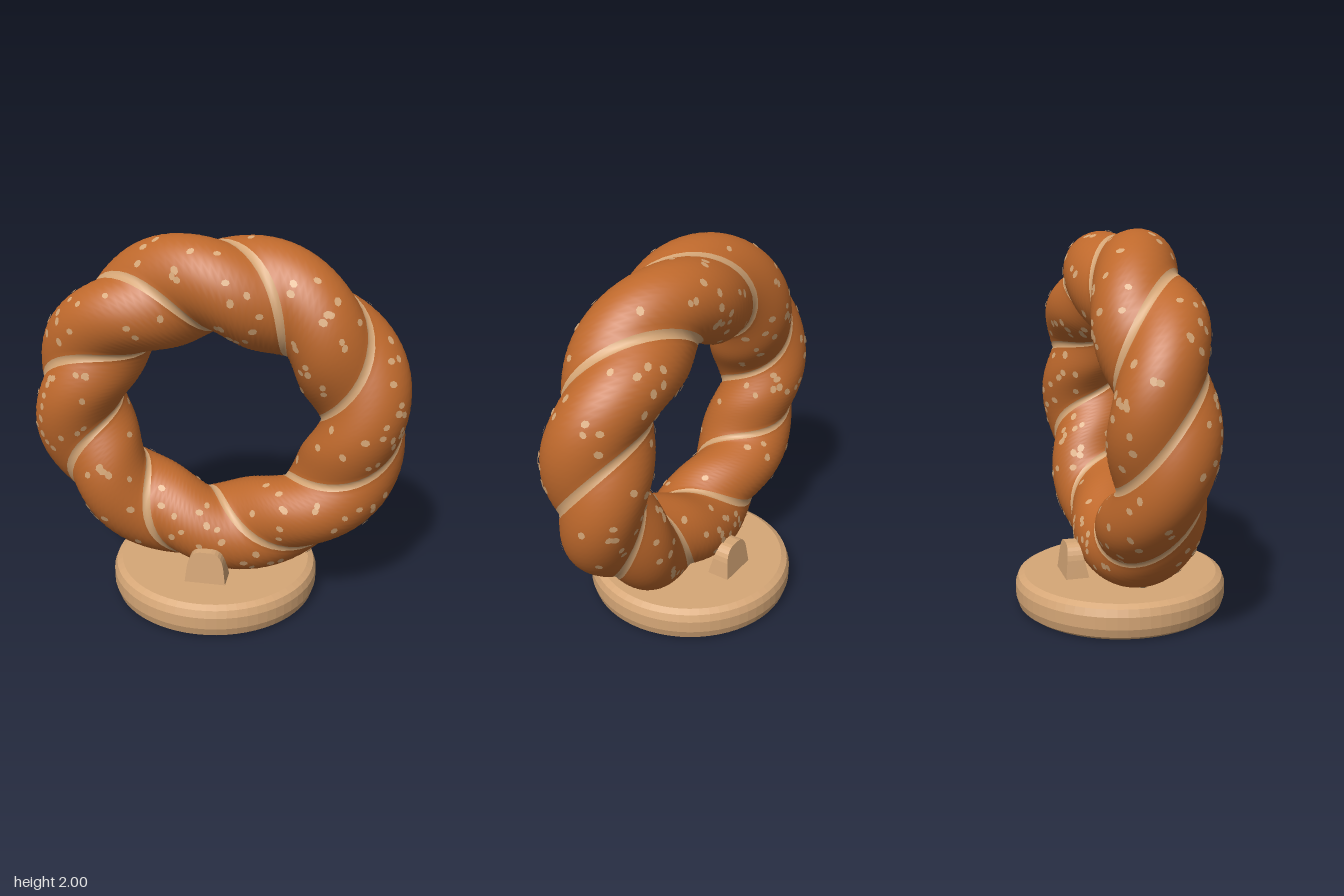
import * as THREE from 'three';
import { mergeGeometries } from 'three/addons/utils/BufferGeometryUtils.js';

const TURNS = 4;                 // full twists around the ring
const RX = 0.746, RY = 0.678;    // ring path radii
const CENTRE_Y = 1.064, CENTRE_Z = 0.01;
const SEAM = THREE.MathUtils.degToRad(9); // half width of the pale seam

// Point of the twisted ring: theta runs round the ring, alpha round the dough
function ringPoint(theta, alpha, rho) {
  const c = Math.cos(theta), s = Math.sin(theta);
  const even = alpha - TURNS * theta;
  const phi = even - 0.16 * (1 + Math.sin(even)) * (1 - 0.45 * c); // hand-rolled slack in the twist
  const thick = rho * (1 + 0.06 * s); // a little plumper at the top
  const out = thick * Math.cos(phi);
  return new THREE.Vector3(
    (RX + out) * c,
    CENTRE_Y + (RY + out) * s,
    CENTRE_Z + thick * Math.sin(phi)
  );
}

// Two overlapping circles give the plump strands with a crease between them
function doughRadius(alpha) {
  const d = 0.054, r = 0.216, c = d * Math.cos(alpha);
  return d * Math.abs(Math.sin(alpha)) + Math.sqrt(r * r - c * c);
}

// Closed band of the ring between two alpha angles
function twistedBand(from, to, steps, radius) {
  const rings = 128, row = steps + 1, positions = [], index = [];
  for (let i = 0; i < rings; i++) {
    const theta = (i / rings) * Math.PI * 2;
    for (let j = 0; j <= steps; j++) {
      const alpha = from + ((to - from) * j) / steps;
      positions.push(...ringPoint(theta, alpha, radius(alpha)).toArray());
    }
  }
  for (let i = 0; i < rings; i++) {
    for (let j = 0; j < steps; j++) {
      const a = i * row + j, b = ((i + 1) % rings) * row + j;
      index.push(a, b, a + 1, b, b + 1, a + 1);
    }
  }
  const geometry = new THREE.BufferGeometry();
  geometry.setAttribute('position', new THREE.Float32BufferAttribute(positions, 3));
  geometry.setIndex(index);
  geometry.computeVertexNormals();
  return geometry;
}

function seededRandom(seed) {
  return () => {
    seed = (seed * 16807) % 2147483647;
    return seed / 2147483647;
  };
}

// Small pale grains lying flat on the crust, mostly on its front and back
function grainGeometry(count) {
  const random = seededRandom(77), grains = [], forward = new THREE.Vector3(0, 0, 1);
  const e = 0.01;
  const at = (t, a) => ringPoint(t, a, doughRadius(a));
  while (grains.length < count) {
    const theta = random() * Math.PI * 2;
    const alpha = (random() < 0.5 ? 0 : Math.PI) + Math.PI * (0.15 + 0.7 * random());
    if (Math.abs(Math.sin(alpha - TURNS * theta)) < 0.8 * random()) continue;
    const p = at(theta, alpha);
    const normal = at(theta + e, alpha).sub(p).cross(at(theta, alpha + e).sub(p)).normalize();
    const grain = new THREE.CircleGeometry(0.015 + 0.005 * random(), 7);
    grain.scale(1, 1.25, 1);
    grain.rotateZ(random() * Math.PI);
    grain.applyQuaternion(new THREE.Quaternion().setFromUnitVectors(forward, normal));
    p.addScaledVector(normal, 0.004);
    grain.translate(p.x, p.y, p.z);
    grains.push(grain);
  }
  return mergeGeometries(grains);
}

export function createModel() {
  const crust = new THREE.MeshStandardMaterial({ color: 0xbf692c });
  crust.name = 'brownCrust';
  const pale = new THREE.MeshStandardMaterial({ color: 0xd6a777 });
  pale.name = 'paleTan';

  const model = new THREE.Group();
  model.name = 'twistedBreadRing';
  const add = (name, geometry, material) => {
    const mesh = new THREE.Mesh(geometry, material);
    mesh.name = name;
    model.add(mesh);
    return mesh;
  };

  // Two strands and the seams between them
  for (let k = 0; k < 2; k++) {
    const start = k * Math.PI;
    add(`strand${k + 1}`, twistedBand(start + SEAM, start + Math.PI - SEAM, 18, doughRadius), crust);
    add(`seam${k + 1}`, twistedBand(start - SEAM, start + SEAM, 2, doughRadius), pale);
  }
  add('grains', grainGeometry(330), pale);

  // Round base with softened rims
  const profile = [
    [0, 0], [0.525, 0], [0.552, 0.02], [0.566, 0.065],
    [0.566, 0.13], [0.552, 0.168], [0.52, 0.186], [0, 0.186],
  ].map(([x, y]) => new THREE.Vector2(x, y));
  const base = new THREE.LatheGeometry(profile, 64).toNonIndexed();
  base.computeVertexNormals();
  add('base', base, pale).position.x = -0.025;

  // Rounded tabs holding the ring front and back, leaning slightly inward
  const tab = new THREE.Shape();
  tab.moveTo(-0.112, 0);
  tab.lineTo(0.112, 0);
  tab.lineTo(0.098, 0.11);
  tab.quadraticCurveTo(0.085, 0.185, 0.03, 0.19);
  tab.lineTo(-0.03, 0.19);
  tab.quadraticCurveTo(-0.085, 0.185, -0.098, 0.11);
  tab.closePath();
  for (const side of [1, -1]) {
    const geometry = new THREE.ExtrudeGeometry(tab, { depth: 0.12, bevelEnabled: false, curveSegments: 5 });
    const pos = geometry.attributes.position;
    for (let i = 0; i < pos.count; i++) {
      const t = pos.getY(i) / 0.19;
      const outer = pos.getZ(i) > 0.06;
      pos.setZ(i, outer ? 0.325 - 0.02 * t : 0.195 + 0.045 * t);
    }
    geometry.computeVertexNormals();
    if (side < 0) geometry.rotateY(Math.PI);
    add(side > 0 ? 'frontTab' : 'backTab', geometry, pale).position.set(-0.022, 0.172, 0);
  }
  return model;
}
